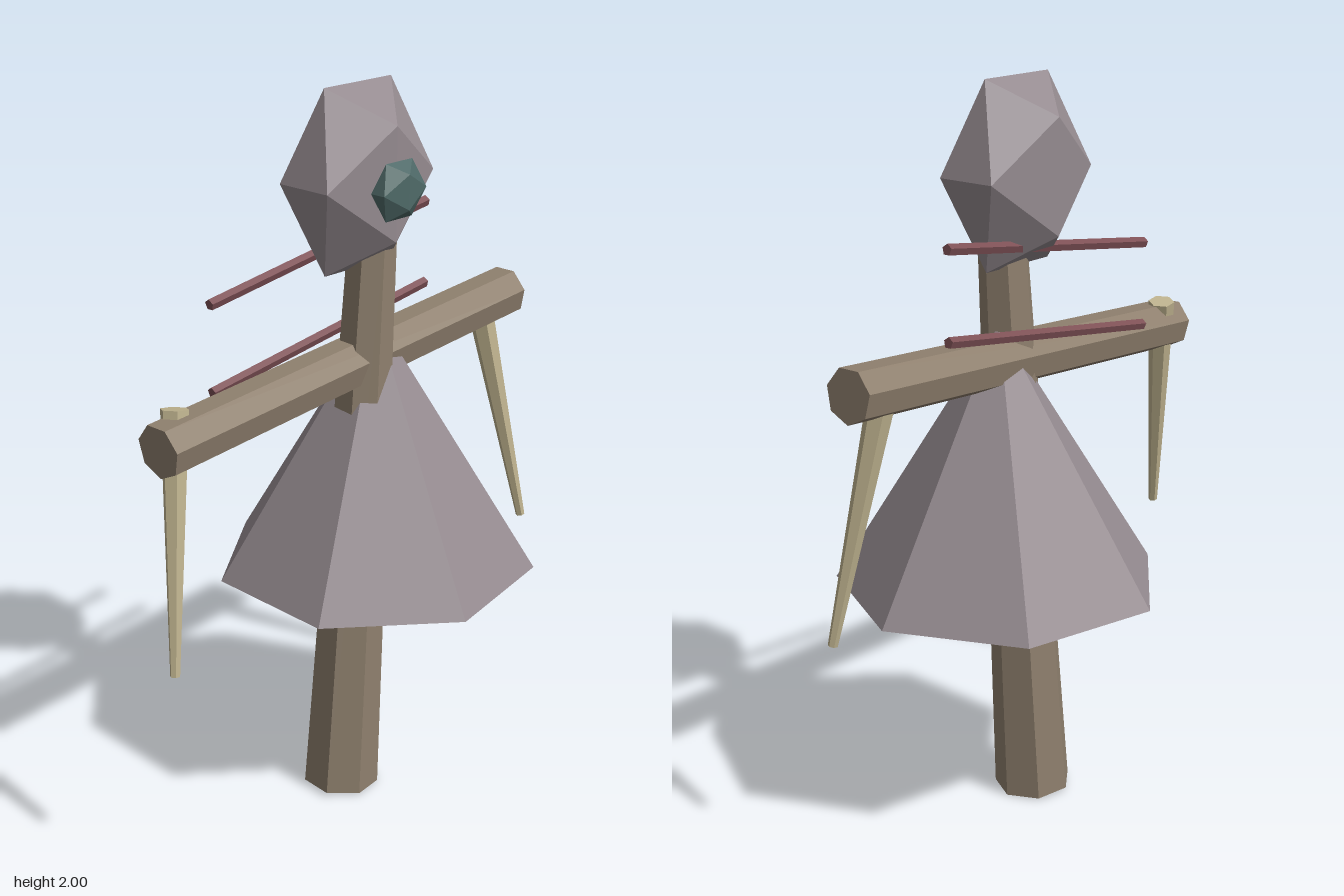
import * as THREE from 'three';

const flat = (name, color) =>
  Object.assign(new THREE.MeshStandardMaterial({ color, flatShading: true }), { name });

export function createModel() {
  const group = new THREE.Group();
  const wood = flat('weathered wood', 0x8f806e);
  const cloth = flat('grey cloth', 0x958b90);
  const bone = flat('pale straw', 0xbfb38f);
  const red = flat('dull red', 0x7d5055);
  const teal = flat('dark teal', 0x4f6a68);

  const add = (name, geometry, material) => {
    const mesh = new THREE.Mesh(geometry, material);
    mesh.name = name;
    group.add(mesh);
    return mesh;
  };

  // Tapered faceted rod from point a to point b; spin turns its facets (degrees)
  const rod = (name, a, b, ra, rb, sides, spin, material) => {
    const start = new THREE.Vector3(...a);
    const end = new THREE.Vector3(...b);
    const geometry = new THREE.CylinderGeometry(
      rb, ra, start.distanceTo(end), sides, 1, false, THREE.MathUtils.degToRad(spin));
    const mesh = add(name, geometry, material);
    mesh.position.copy(start).lerp(end, 0.5);
    mesh.quaternion.setFromUnitVectors(
      new THREE.Vector3(0, 1, 0), end.clone().sub(start).normalize());
  };

  // Faceted lump stretched to the given half sizes
  const lump = (name, position, halfSize, material) => {
    const geometry = new THREE.IcosahedronGeometry(1 / 0.8507, 0);
    geometry.scale(...halfSize);
    add(name, geometry, material).position.set(...position);
  };

  // Leaning post and crossbar
  rod('post', [0, 0.006, -0.014], [0.087, 1.6, 0.015], 0.107, 0.065, 7, -16, wood);
  rod('crossbar', [-0.647, 1.218, 0.01], [0.686, 1.318, -0.021], 0.071, 0.071, 7, -114, wood);

  // Seven-sided skirt
  const skirt = add('skirt',
    new THREE.ConeGeometry(0.443, 0.715, 7, 1, false, THREE.MathUtils.degToRad(88.5)), cloth);
  skirt.position.set(0.124, 0.665 + 0.715 / 2, -0.002);

  // Head and single eye
  lump('head', [0.065, 1.76, -0.015], [0.195, 0.24, 0.135], cloth);
  lump('eye', [0.04, 1.757, 0.15], [0.077, 0.073, 0.036], teal);

  // Tapered spikes hanging from the crossbar ends
  for (const side of [-1, 1]) {
    rod(side < 0 ? 'rightSpike' : 'leftSpike',
      [side * 0.677, 0.645, 0.074], [side * 0.568, 1.3, -0.018], 0.013, 0.037, 6, 30, bone);
  }

  // Thin sloping sticks behind the neck
  [['upperStick', 1.567], ['lowerStick', 1.337]].forEach(([name, y]) =>
    rod(name, [-0.395, y - 0.058, -0.077], [0.398, y + 0.058, -0.077], 0.015, 0.015, 5, -90, red));

  return group;
}
